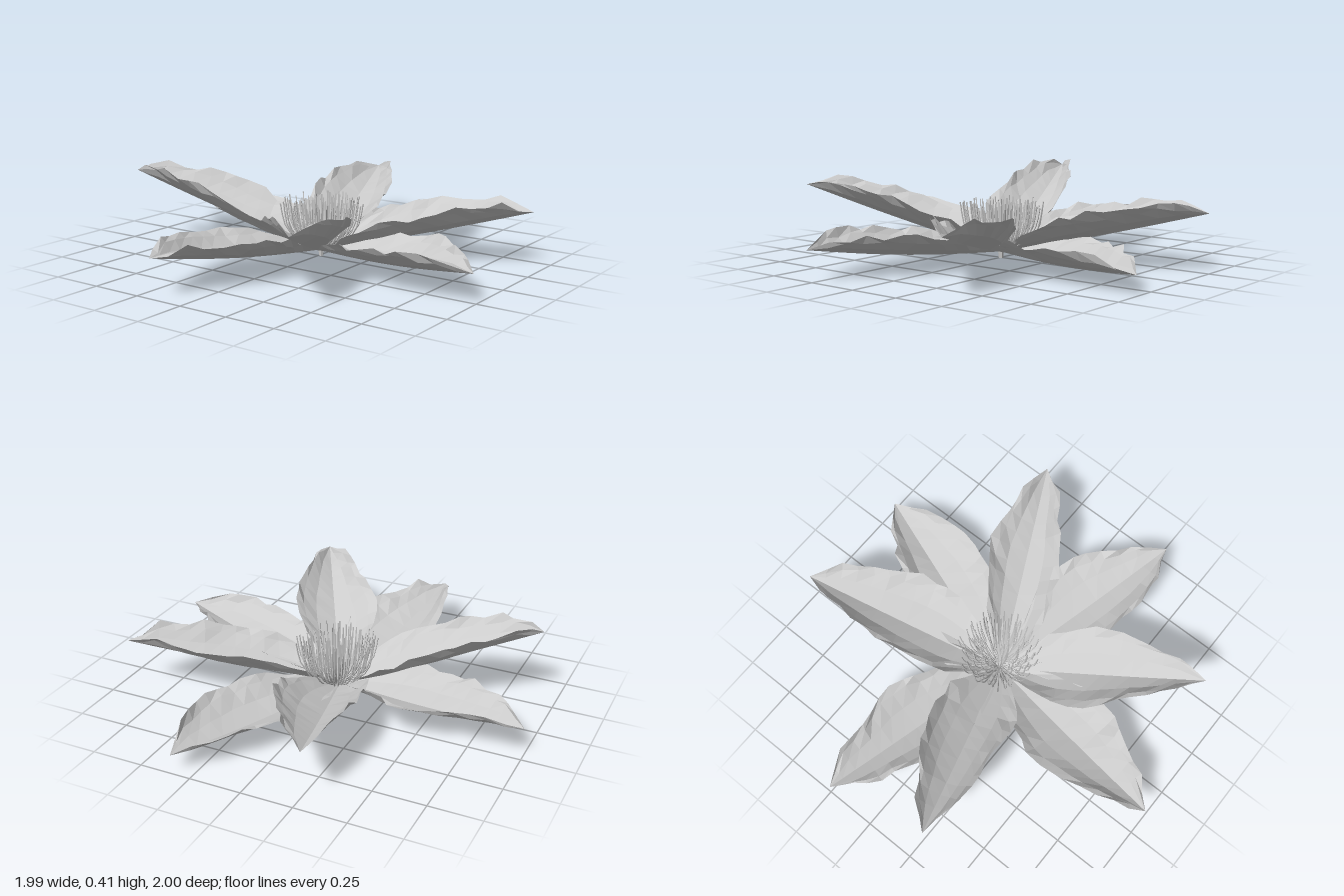
import * as THREE from 'three';

const petalMat = new THREE.MeshStandardMaterial({ color: 0xcccccc, flatShading: true, side: THREE.DoubleSide });
const solidMat = new THREE.MeshStandardMaterial({ color: 0xcccccc, flatShading: true });

// Small seeded random generator
let seed = 7;
const rand = () => (seed = (seed * 16807) % 2147483647) / 2147483647;
const jitter = (a) => (rand() * 2 - 1) * a;

// Stations along a petal, how far its rim rises there, and the table lookup
const STATIONS = [0, 0.1, 0.25, 0.4, 0.55, 0.7, 0.85, 1];
const LIFT = [0, 0.06, 0.11, 0.125, 0.125, 0.115, 0.09, 0];
function lookup(table, s) {
  let i = 0;
  while (i < STATIONS.length - 2 && s > STATIONS[i + 1]) i++;
  const t = (s - STATIONS[i]) / (STATIONS[i + 1] - STATIONS[i]);
  return THREE.MathUtils.lerp(table[i], table[i + 1], t);
}

// Each petal: tip position, then half widths on either side of the midrib
const UPPER = [
  { tip: [-0.29, 0.37, -0.92], a: [0.11, 0.19, 0.185, 0.18, 0.135, 0.09], b: [0.1, 0.185, 0.175, 0.15, 0.12, 0.08] },
  { tip: [-0.86, 0.34, 0.47], a: [0.09, 0.19, 0.21, 0.17, 0.125, 0.07], b: [0.085, 0.165, 0.195, 0.19, 0.14, 0.09] },
  { tip: [0.44, 0.26, 0.93], a: [0.09, 0.175, 0.185, 0.175, 0.125, 0.095], b: [0.065, 0.135, 0.165, 0.185, 0.145, 0.085] },
  { tip: [0.98, 0.27, -0.28], a: [0.1, 0.2, 0.23, 0.21, 0.165, 0.11], b: [0.1, 0.185, 0.185, 0.17, 0.14, 0.09] },
];
const LOWER = [
  { tip: [0.23, 0.15, -1.0], a: [0.09, 0.17, 0.22, 0.225, 0.15, 0.11], b: [0.09, 0.17, 0.19, 0.18, 0.15, 0.115] },
  { tip: [-1.0, 0.18, -0.17], a: [0.09, 0.17, 0.22, 0.205, 0.165, 0.09], b: [0.09, 0.17, 0.21, 0.21, 0.15, 0.09] },
  { tip: [-0.28, 0.14, 1.0], a: [0.09, 0.16, 0.185, 0.19, 0.17, 0.115], b: [0.09, 0.16, 0.2, 0.23, 0.17, 0.105] },
  { tip: [0.99, 0.085, 0.35], a: [0.09, 0.17, 0.215, 0.22, 0.18, 0.12], b: [0.09, 0.17, 0.2, 0.2, 0.15, 0.11] },
];

// Boat-shaped petal: cross-sections swept from the base to the pointed tip
function petal({ tip, a, b }, liftScale, sag) {
  const [tx, ty, tz] = tip;
  const len = Math.hypot(tx, tz);
  const dx = tx / len, dz = tz / len;
  const wa = [0.012, ...a, 0], wb = [0.012, ...b, 0];
  const rows = 14;
  const us = [-1, -0.82, -0.5, 0, 0.5, 0.82, 1];
  const pos = [], index = [];
  for (let r = 0; r <= rows; r++) {
    const s = r / rows;
    const ruffle = r > 2 && r < rows ? 1 : 0;
    const along = 0.012 + (len - 0.012) * s;
    const mid = 0.03 + (ty - 0.03) * s - sag * Math.sin(Math.PI * s);
    for (const u of us) {
      const edge = Math.abs(u) ** 3 * ruffle;
      const across = u * lookup(u > 0 ? wa : wb, s) + jitter(0.012) * edge;
      const l = along + jitter(0.014) * edge;
      const y = mid + lookup(LIFT, s) * liftScale * Math.abs(u) ** 1.6 + jitter(0.018) * edge;
      pos.push(dx * l - dz * across, y, dz * l + dx * across);
    }
  }
  const n = us.length;
  for (let r = 0; r < rows; r++) {
    for (let c = 0; c < n - 1; c++) {
      const i = r * n + c;
      index.push(i, i + 1, i + n, i + 1, i + n + 1, i + n);
    }
  }
  const g = new THREE.BufferGeometry();
  g.setAttribute('position', new THREE.Float32BufferAttribute(pos, 3));
  g.setIndex(index);
  g.computeVertexNormals();
  const mesh = new THREE.Mesh(g, petalMat);
  mesh.name = 'petal';
  return mesh;
}

// Thin filament that bends outwards, then upwards
function stamen(angle, reach, top) {
  const at = (r, y) => new THREE.Vector3(Math.cos(angle) * r, y, Math.sin(angle) * r);
  const curve = new THREE.CatmullRomCurve3([
    at(0.015, 0.045), at(reach * 0.55, 0.075), at(reach * 0.88, 0.15), at(reach, top),
  ]);
  const mesh = new THREE.Mesh(new THREE.TubeGeometry(curve, 6, 0.0035, 4), solidMat);
  mesh.name = 'stamen';
  return mesh;
}

export function createModel() {
  const flower = new THREE.Group();
  flower.name = 'flower';

  // Two whorls of four petals
  const upper = new THREE.Group();
  upper.name = 'upperPetals';
  UPPER.forEach((p) => upper.add(petal(p, 1, 0.008)));
  const lower = new THREE.Group();
  lower.name = 'lowerPetals';
  LOWER.forEach((p) => lower.add(petal(p, 0.85, 0.018)));

  // Rings of stamens forming a bowl
  const stamens = new THREE.Group();
  stamens.name = 'stamens';
  [[0.05, 12], [0.09, 20], [0.13, 28], [0.16, 32], [0.19, 36]].forEach(([reach, count]) => {
    for (let i = 0; i < count; i++) {
      const angle = ((i + jitter(0.3)) / count) * Math.PI * 2;
      stamens.add(stamen(angle, reach + jitter(0.015), 0.265 + jitter(0.025)));
    }
  });
  stamens.position.set(0.02, 0, 0.01);

  // Short stem stub under the petals
  const stem = new THREE.Mesh(new THREE.CylinderGeometry(0.016, 0.011, 0.05, 6), solidMat);
  stem.name = 'stem';
  stem.position.set(0.01, 0.025, 0.01);

  flower.add(upper, lower, stamens, stem);
  return flower;
}
